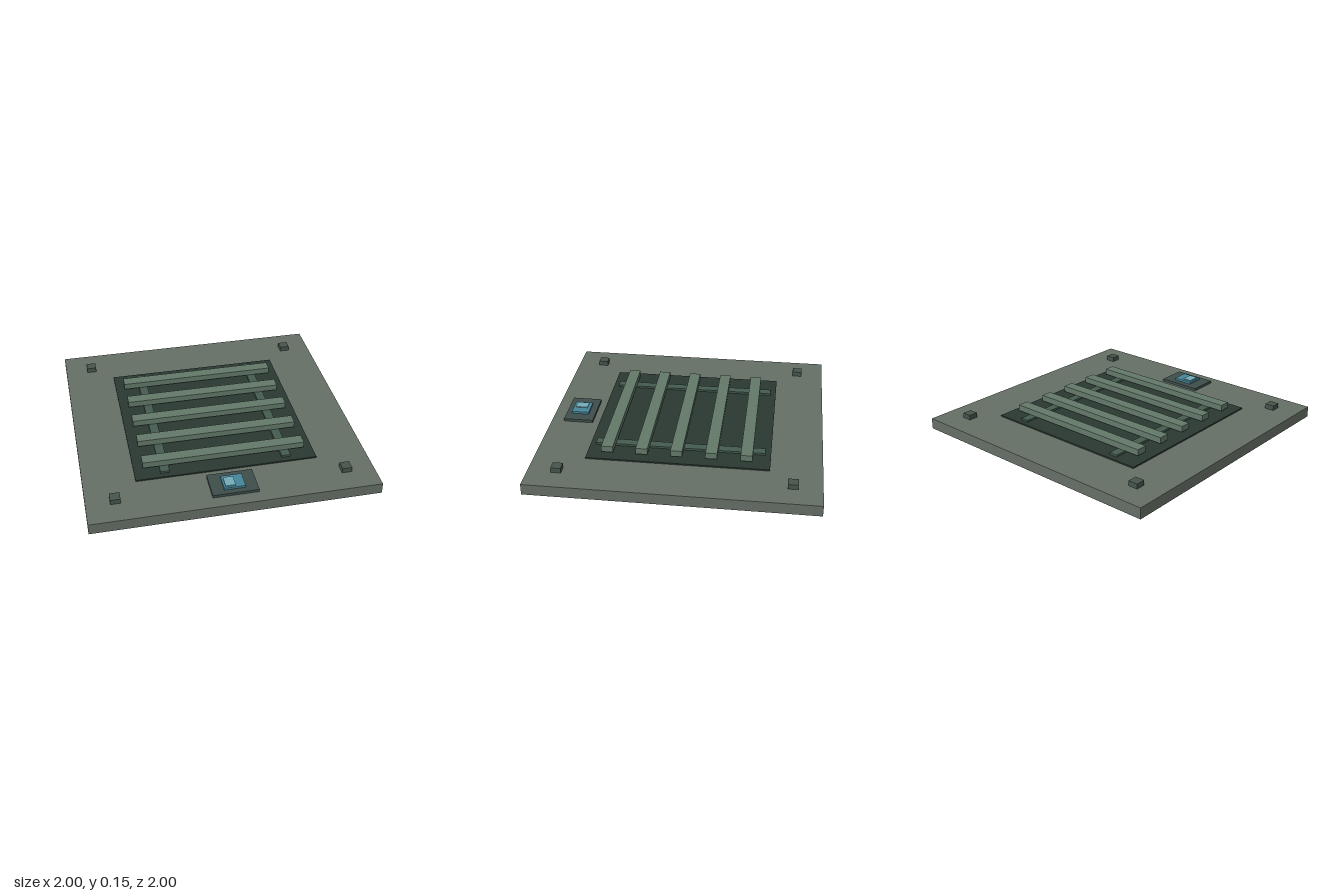
import * as THREE from 'three';

const mat = (color) => new THREE.MeshStandardMaterial({ color, flatShading: true });

export function createModel() {
  const model = new THREE.Group();
  model.name = 'floorVentTile';

  const colors = {
    slab: mat(0x666f66), recess: mat(0x2b3932), rail: mat(0x445c50), bar: mat(0x63796a),
    bolt: mat(0x45554c), plate: mat(0x3e4e4a), lamp: mat(0x478699), glint: mat(0x72abb9),
  };

  // Box given by its size, centre in x/z and its bottom height
  function box(name, material, [w, h, d], x, bottom, z, parent = model) {
    const mesh = new THREE.Mesh(new THREE.BoxGeometry(w, h, d), material);
    mesh.name = name;
    mesh.position.set(x, bottom + h / 2, z);
    parent.add(mesh);
    return mesh;
  }

  // Floor slab and dark vent panel
  box('slab', colors.slab, [2, 0.08, 2], 0, 0, 0);
  box('ventPanel', colors.recess, [1.28, 0.01, 1.28], 0, 0.08, 0);

  // Grille: two rails carrying five cross bars
  const grille = new THREE.Group();
  grille.name = 'grille';
  model.add(grille);
  for (const side of [-1, 1]) {
    box(side > 0 ? 'leftRail' : 'rightRail', colors.rail, [0.064, 0.015, 1.2], side * 0.43, 0.09, 0, grille);
  }
  for (let i = -2; i <= 2; i++) {
    box(`crossBar${i + 3}`, colors.bar, [1.152, 0.045, 0.082], 0, 0.105, 0.011 + i * 0.243, grille);
  }

  // Corner bolts
  for (const x of [-0.8, 0.8]) {
    for (const z of [-0.8, 0.8]) box('cornerBolt', colors.bolt, [0.07, 0.036, 0.07], x, 0.08, z);
  }

  // Indicator lamp on its plate, with an off-centre bright patch
  const indicator = new THREE.Group();
  indicator.name = 'indicator';
  model.add(indicator);
  box('indicatorPlate', colors.plate, [0.32, 0.02, 0.216], 0, 0.08, 0.8, indicator);
  box('indicatorLamp', colors.lamp, [0.148, 0.016, 0.128], 0, 0.1, 0.804, indicator);
  box('lampHighlight', colors.glint, [0.07, 0.006, 0.09], -0.026, 0.116, 0.808, indicator);

  return model;
}
